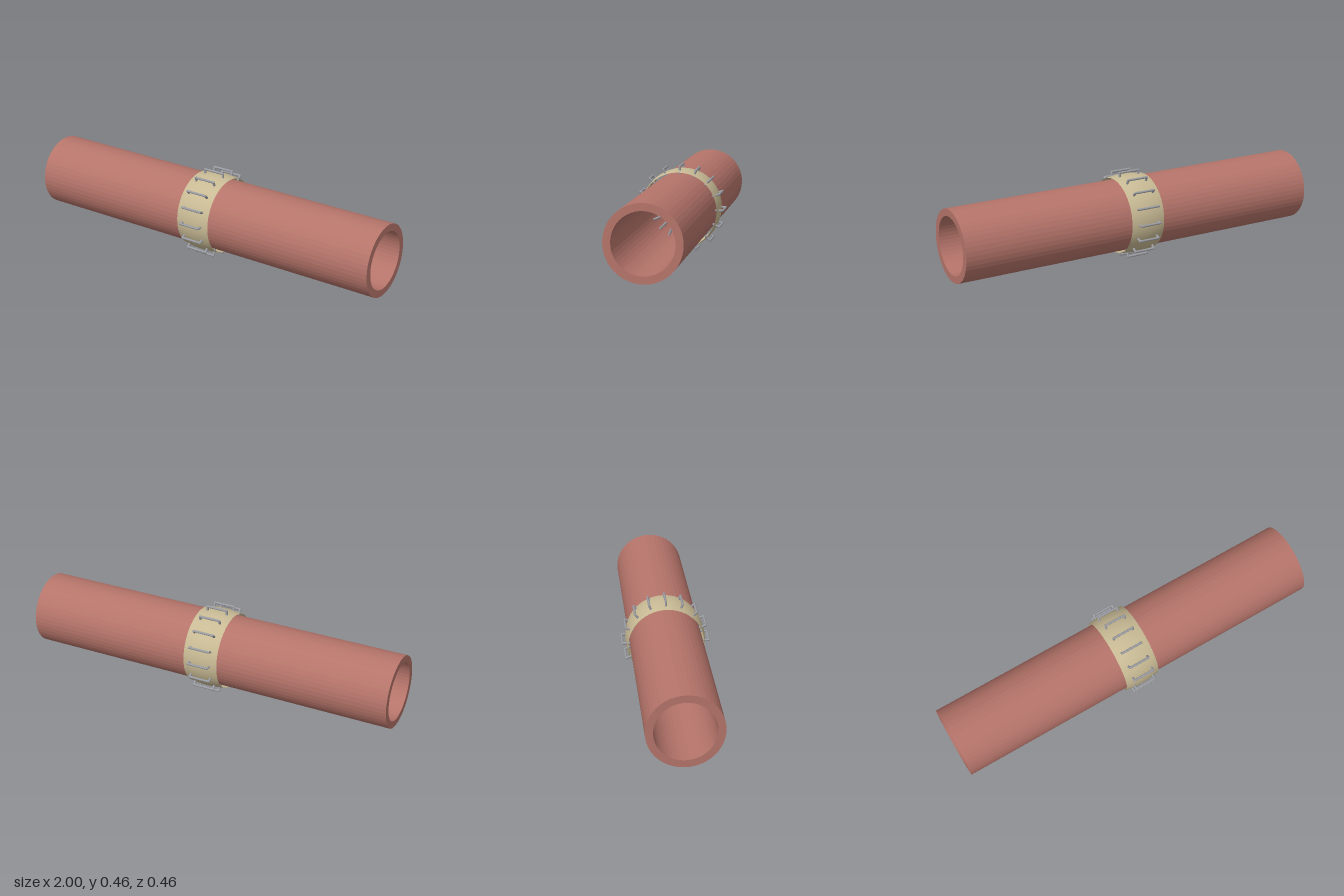
import * as THREE from 'three';

const AXIS_Y = 0.237;

// Revolve [radius, position along x] points about the x axis
function revolve(points, segments, material, name) {
  const geometry = new THREE.LatheGeometry(points.map(([r, x]) => new THREE.Vector2(r, x)), segments);
  geometry.rotateZ(-Math.PI / 2);
  const mesh = new THREE.Mesh(geometry, material);
  mesh.name = name;
  return mesh;
}

export function createModel() {
  const model = new THREE.Group();
  model.name = 'clampedPipe';
  const body = new THREE.Group();
  body.name = 'pipeAssembly';
  body.position.y = AXIS_Y;
  model.add(body);

  const clay = new THREE.MeshStandardMaterial({ color: 0xb5746a, flatShading: true });
  const khaki = new THREE.MeshStandardMaterial({ color: 0xc8ba94, side: THREE.DoubleSide });
  const steel = new THREE.MeshStandardMaterial({ color: 0x9a9ca2 });

  // Hollow pipe with thick walls
  body.add(revolve([[0.149, -1], [0.186, -1], [0.186, 1], [0.149, 1], [0.149, -1]], 48, clay, 'pipe'));

  // Thin, slightly bulging band, standing clear of the pipe
  const bandProfile = [];
  for (let i = 0; i <= 12; i++) {
    const t = i / 6 - 1;
    bandProfile.push([0.206 - 0.009 * t * t, 0.094 * t]);
  }
  body.add(revolve(bandProfile, 64, khaki, 'band'));

  // Staples: a bar outside the band and two legs through the pipe wall
  const legX = 0.055, outer = 0.224, inner = 0.105, wire = 0.006;
  const legGeometry = new THREE.CylinderGeometry(wire, wire, outer - inner, 12);
  const barGeometry = new THREE.CylinderGeometry(wire, wire, 2 * legX, 12).rotateZ(Math.PI / 2);
  const ballGeometry = new THREE.SphereGeometry(wire, 12, 8);
  for (let i = 0; i < 16; i++) {
    const staple = new THREE.Group();
    staple.name = 'staple';
    staple.rotation.x = (i / 16) * Math.PI * 2;
    const add = (name, geometry, x, y) => {
      const mesh = new THREE.Mesh(geometry, steel);
      mesh.name = name;
      mesh.position.set(x, y, 0);
      staple.add(mesh);
    };
    add('stapleBar', barGeometry, 0, outer);
    for (const side of [-1, 1]) {
      add('stapleLeg', legGeometry, side * legX, (outer + inner) / 2);
      add('stapleCorner', ballGeometry, side * legX, outer);
      add('stapleTip', ballGeometry, side * legX, inner);
    }
    body.add(staple);
  }
  return model;
}
